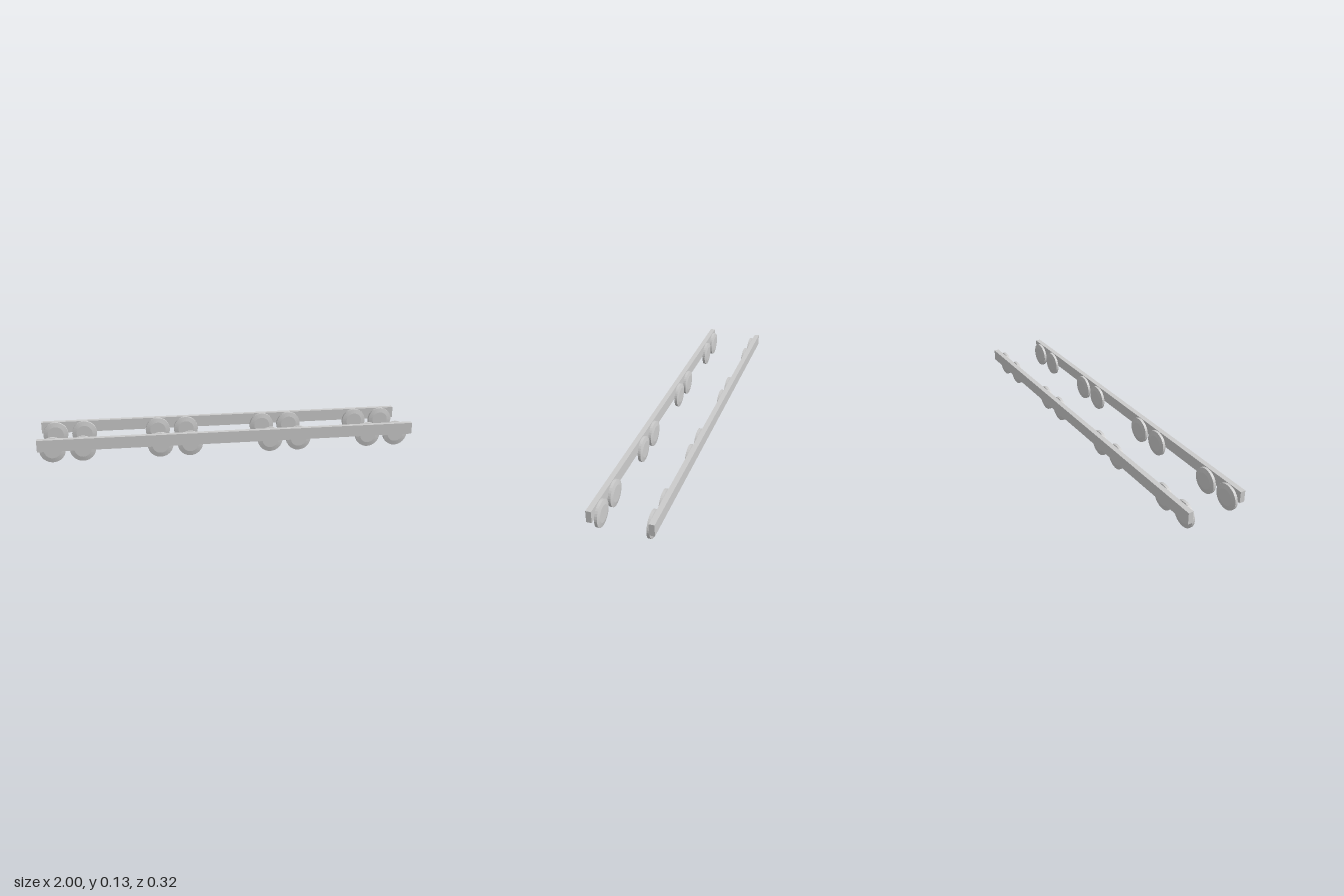
import * as THREE from 'three';

const material = new THREE.MeshStandardMaterial({ color: 0xcccccc, flatShading: true });

// Disc wheel: flat hub faces, bevelled flanks and a narrow tread
function wheelGeometry() {
  const profile = [
    [0, -0.012], [0.043, -0.012], [0.067, -0.007],
    [0.067, 0.007], [0.043, 0.012], [0, 0.012],
  ].map(([r, h]) => new THREE.Vector2(r, h));
  return new THREE.LatheGeometry(profile, 32).rotateX(Math.PI / 2);
}

export function createModel() {
  const group = new THREE.Group();
  const railGeo = new THREE.BoxGeometry(2, 0.062, 0.027);
  const wheelGeo = wheelGeometry();
  const wheelXs = [-0.925, -0.77, -0.368, -0.211, 0.22, 0.375, 0.762, 0.918];

  for (const side of [1, -1]) {
    const name = side > 0 ? 'front' : 'back';

    // Long side rail outside the wheels
    const rail = new THREE.Mesh(railGeo, material);
    rail.name = name + 'Rail';
    rail.position.set(0, 0.101, side * 0.1485);
    group.add(rail);

    // Four pairs of wheels along the inner face of the rail
    const wheels = new THREE.Group();
    wheels.name = name + 'Wheels';
    for (const x of wheelXs) {
      const wheel = new THREE.Mesh(wheelGeo, material);
      wheel.name = 'wheel';
      wheel.position.set(x, 0.067, side * 0.124);
      wheels.add(wheel);
    }
    group.add(wheels);
  }
  return group;
}
